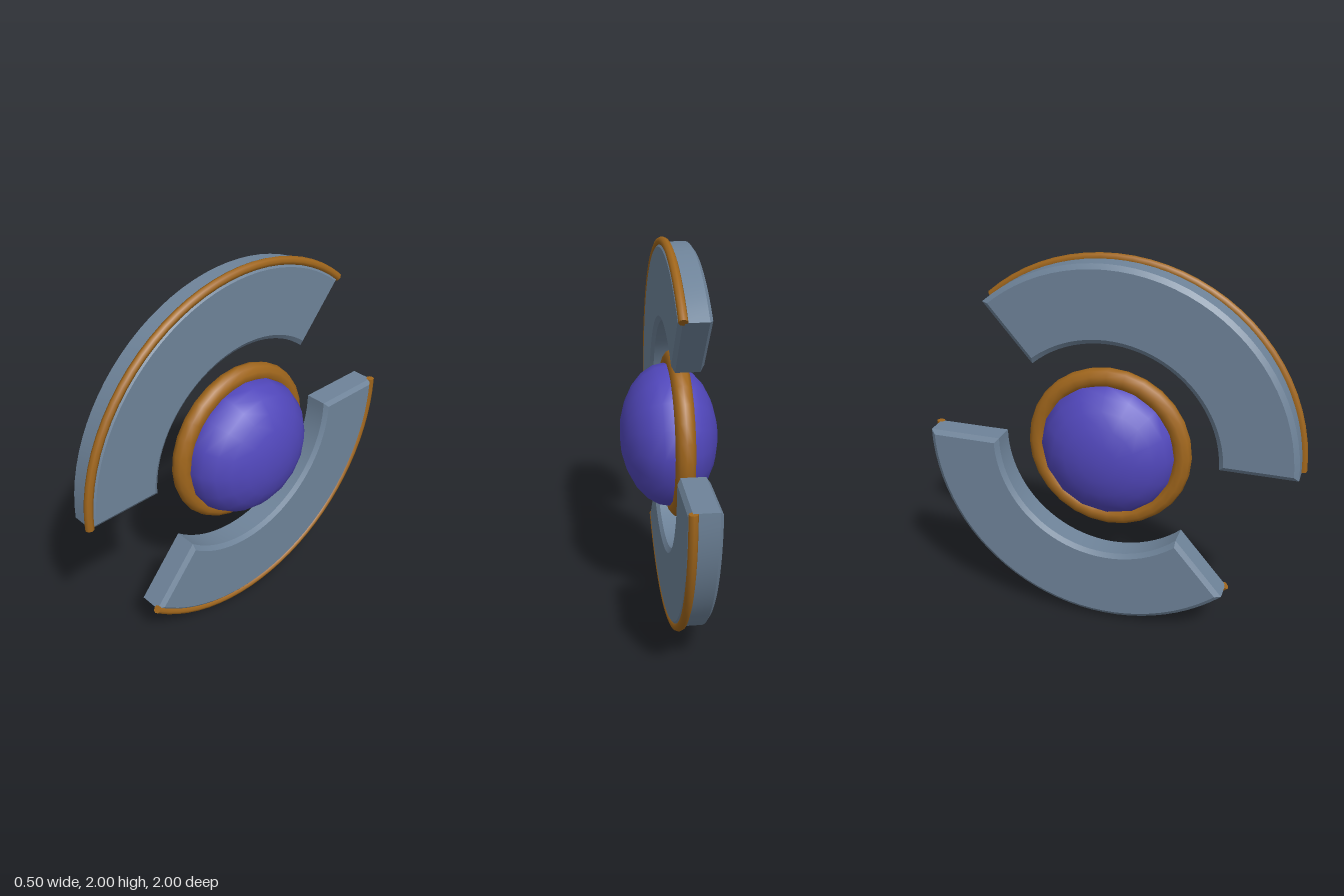
import * as THREE from 'three';
import { toCreasedNormals } from 'three/addons/utils/BufferGeometryUtils.js';

const slate = new THREE.MeshStandardMaterial({ color: 0x6e8399 });
slate.name = 'slate blue';
const bronze = new THREE.MeshStandardMaterial({ color: 0xa0661c });
bronze.name = 'bronze';
const violet = new THREE.MeshStandardMaterial({ color: 0x5147bb });
violet.name = 'violet';

function part(name, geometry, material) {
  const mesh = new THREE.Mesh(geometry, material);
  mesh.name = name;
  return mesh;
}

// Curved slab with chamfered edges, thickness along x
function bladeGeometry(start, end) {
  const bevel = 0.024, thickness = 0.155, back = -0.122;
  const shape = new THREE.Shape();
  shape.absarc(0, 0, 0.975, start, end, false);
  shape.absarc(0, 0, 0.585, end, start, true);
  shape.closePath();
  const geo = new THREE.ExtrudeGeometry(shape, {
    depth: thickness - 0.036, curveSegments: 16, bevelEnabled: true,
    bevelThickness: 0.018, bevelSize: bevel, bevelOffset: -bevel, bevelSegments: 1,
  });
  geo.translate(0, 0, back + 0.018);
  geo.rotateY(Math.PI / 2);
  return toCreasedNormals(geo, 0.5);
}

// Round trim along the outer edge, with capped ends
function rimGroup(start, end) {
  const group = new THREE.Group();
  group.name = 'outerRim';
  const radius = 0.978, tube = 0.022, x = 0.013;
  const arc = new THREE.TorusGeometry(radius, tube, 8, 28, end - start);
  arc.rotateZ(start);
  arc.rotateY(Math.PI / 2);
  arc.translate(x, 0, 0);
  group.add(part('rimTube', arc, bronze));
  for (const [angle, flip] of [[start, 1], [end, -1]]) {
    const cap = new THREE.CircleGeometry(tube, 8);
    cap.rotateX(flip * Math.PI / 2);
    cap.translate(radius, 0, 0);
    cap.rotateZ(angle);
    cap.rotateY(Math.PI / 2);
    cap.translate(x, 0, 0);
    group.add(part('rimCap', cap, bronze));
  }
  return group;
}

export function createModel() {
  const model = new THREE.Group();
  model.name = 'orbWithBlades';

  // Flattened central orb
  const orbGeo = new THREE.SphereGeometry(1, 16, 12);
  orbGeo.rotateZ(Math.PI / 2);
  orbGeo.scale(0.25, 0.372, 0.372);
  const orb = part('orb', orbGeo, violet);
  orb.position.y = 1;
  model.add(orb);

  // Frame is turned very slightly about the upright axis
  const frame = new THREE.Group();
  frame.name = 'frame';
  frame.position.y = 1;
  frame.rotation.y = -0.02;
  model.add(frame);

  // Ring around the orb
  const ringGeo = new THREE.TorusGeometry(0.385, 0.05, 10, 28);
  ringGeo.rotateY(Math.PI / 2);
  ringGeo.translate(-0.039, 0.005, 0);
  frame.add(part('orbRing', ringGeo, bronze));

  // Two blades, the second a half turn from the first
  const start = THREE.MathUtils.degToRad(49.5);
  const end = Math.PI + 0.008;
  ['upperBlade', 'lowerBlade'].forEach((name, i) => {
    const blade = new THREE.Group();
    blade.name = name;
    const turn = i * Math.PI;
    blade.add(part('bladePlate', bladeGeometry(start + turn, end + turn), slate));
    blade.add(rimGroup(start + turn, end + turn));
    frame.add(blade);
  });
  return model;
}
